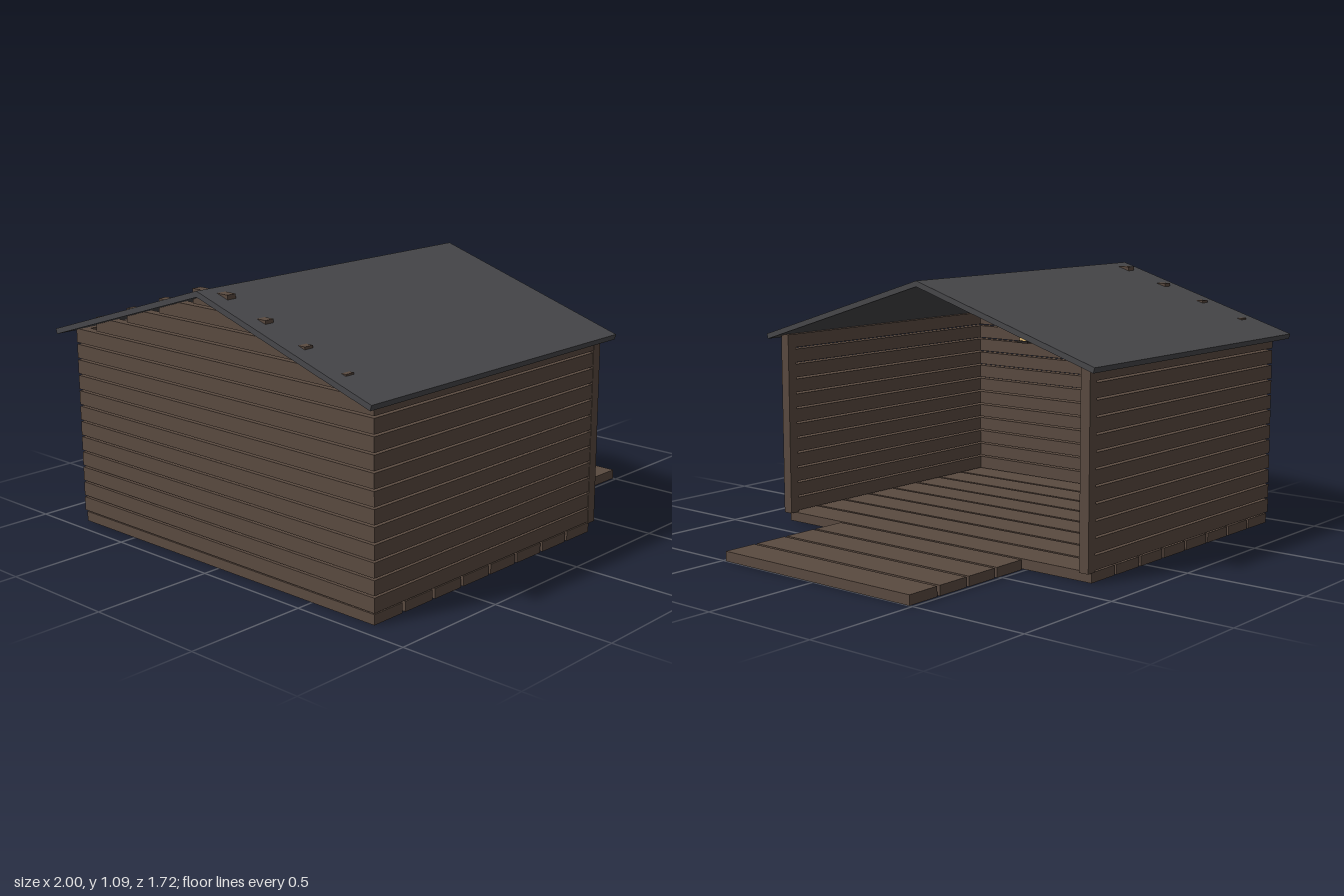
import * as THREE from 'three';

const wood = new THREE.MeshStandardMaterial({ color: 0x5a4a40 });
const roofing = new THREE.MeshStandardMaterial({ color: 0x47474a });
const iron = new THREE.MeshStandardMaterial({ color: 0x2a2624 });
const glass = new THREE.MeshStandardMaterial({ color: 0xe0b870 });

// Box given by its min and max corners
function block(parent, name, material, [x0, y0, z0], [x1, y1, z1]) {
  const mesh = new THREE.Mesh(new THREE.BoxGeometry(x1 - x0, y1 - y0, z1 - z0), material);
  mesh.position.set((x0 + x1) / 2, (y0 + y1) / 2, (z0 + z1) / 2);
  mesh.name = name;
  parent.add(mesh);
  return mesh;
}

function section(parent, name) {
  const g = new THREE.Group();
  g.name = name;
  parent.add(g);
  return g;
}

export function createModel() {
  const model = new THREE.Group();
  model.name = 'openShed';

  // Floor boards: eight wide ones inside, four narrower ones as the porch
  const floor = section(model, 'floor');
  for (let i = 0; i < 12; i++) {
    const x = -0.93 + i * 0.162;
    const half = i < 8 ? 0.805 : 0.485;
    block(floor, i < 8 ? 'floorBoard' : 'porchBoard', wood, [x, 0, -half], [x + 0.148, 0.04, half]);
  }

  // Walls of spaced boards; the rear wall carries a stepped gable
  const rowY = (i) => 0.047 + i * 0.0646;
  const boardHeight = 0.057;
  const rear = section(model, 'rearWall');
  const gable = [0.68, 0.485, 0.29, 0.095];
  for (let i = 0; i < 16; i++) {
    const half = i < 12 ? 0.81 : gable[i - 12];
    block(rear, i < 12 ? 'wallBoard' : 'gableBoard', wood,
      [-0.935, rowY(i), -half], [-0.895, rowY(i) + boardHeight, half]);
  }
  for (const side of [1, -1]) {
    const wall = section(model, side > 0 ? 'frontWall' : 'backWall');
    const z0 = side > 0 ? 0.77 : -0.81;
    for (let i = 0; i < 12; i++) {
      block(wall, 'wallBoard', wood, [-0.895, rowY(i), z0], [0.337, rowY(i) + boardHeight, z0 + 0.04]);
    }
    // Post at the open end
    block(wall, 'cornerPost', wood, [0.337, 0.04, z0], [0.38, 0.815, z0 + 0.042]);
  }

  // Roof: chevron section swept along x
  const chevron = new THREE.Shape([
    [0, 1.085], [-0.858, 0.817], [-0.852, 0.796], [0, 1.062], [0.852, 0.796], [0.858, 0.817],
  ].map(([z, y]) => new THREE.Vector2(z, y)));
  const roofGeometry = new THREE.ExtrudeGeometry(chevron, { depth: 1.42, bevelEnabled: false });
  roofGeometry.rotateY(Math.PI / 2).translate(-1, 0, 0);
  const roof = new THREE.Mesh(roofGeometry, roofing);
  roof.name = 'roof';
  model.add(roof);

  // Lantern hanging from the ridge
  const lantern = section(model, 'lantern');
  lantern.position.x = -0.275;
  block(lantern, 'lanternGlass', glass, [-0.021, 0.79, -0.021], [0.021, 0.878, 0.021]);
  block(lantern, 'lanternCap', iron, [-0.027, 0.878, -0.027], [0.027, 0.888, 0.027]);
  block(lantern, 'lanternBase', iron, [-0.027, 0.78, -0.027], [0.027, 0.79, 0.027]);
  const cord = new THREE.Mesh(new THREE.CylinderGeometry(0.004, 0.004, 0.185, 8), iron);
  cord.position.y = 0.98;
  cord.name = 'lanternCord';
  lantern.add(cord);

  return model;
}
